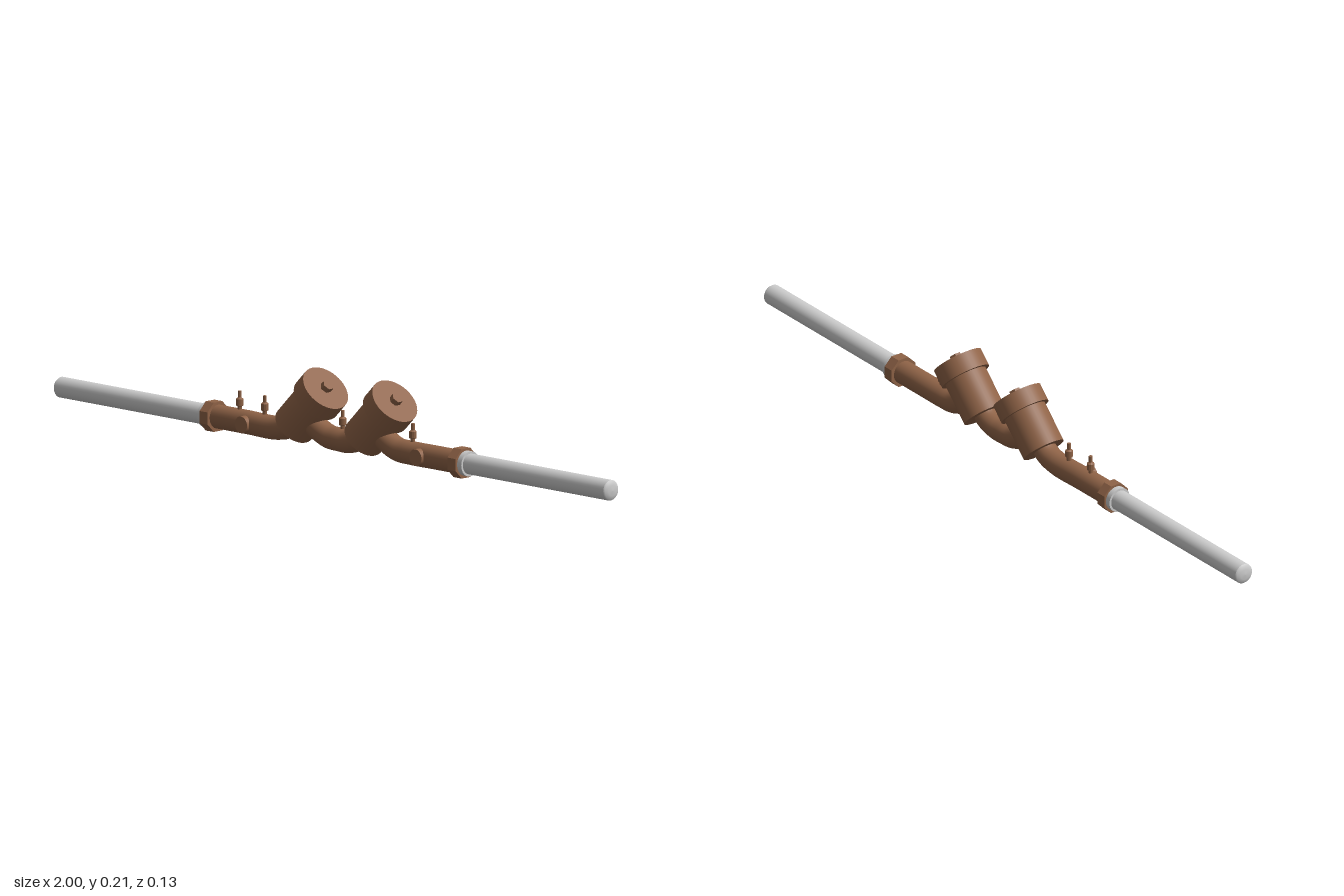
import * as THREE from 'three';

const AXIS_Y = 0.04;

export function createModel() {
  const model = new THREE.Group();
  model.name = 'doubleValveAssembly';
  const bronze = new THREE.MeshStandardMaterial({ color: 0x8f6347 });
  bronze.name = 'bronze';
  const steel = new THREE.MeshStandardMaterial({ color: 0xcccccc });
  steel.name = 'pale pipe';
  const faceted = (g) => { const n = g.toNonIndexed(); n.computeVertexNormals(); return n; };

  function add(parent, name, geometry, material, x = 0, y = 0, z = 0) {
    const mesh = new THREE.Mesh(geometry, material);
    mesh.name = name;
    mesh.position.set(x, y, z);
    parent.add(mesh);
    return mesh;
  }
  // cylinder lying along x between two stations
  function along(name, x0, x1, r, material, sides = 32) {
    const g = new THREE.CylinderGeometry(r, r, x1 - x0, sides);
    if (sides === 8) g.rotateY(Math.PI / 8);
    g.rotateZ(-Math.PI / 2);
    return add(model, name, sides === 8 ? faceted(g) : g, material, (x0 + x1) / 2, AXIS_Y);
  }
  function bentPipe(name, points) {
    const path = new THREE.CatmullRomCurve3(points.map(([x, y]) => new THREE.Vector3(x, y, 0)), false, 'centripetal');
    add(model, name, new THREE.TubeGeometry(path, 48, 0.031, 28), bronze);
  }

  // Long pale pipes with shallow domed ends, plus collars and union nuts
  for (const s of [-1, 1]) {
    const profile = [[0, 0.45], [0.027, 0.45], [0.027, 0.45], [0.027, 0.992], [0.027, 0.992], [0.024, 0.996], [0.014, 0.999], [0, 1]];
    const g = new THREE.LatheGeometry(profile.map(([r, y]) => new THREE.Vector2(r, y)), 32);
    g.rotateZ(-s * Math.PI / 2);
    add(model, s > 0 ? 'leftPipe' : 'rightPipe', g, steel, 0, AXIS_Y);
  }
  along('rightCollar', -0.47, -0.45, 0.033, steel);
  along('leftCollar', 0.465, 0.485, 0.033, steel);
  along('rightUnionNut', -0.455, -0.426, 0.0415, bronze, 8);
  along('leftUnionNut', 0.44, 0.47, 0.0415, bronze, 8);

  // Bronze body runs that bend into and out of the valves
  bentPipe('inletRun', [[-0.45, AXIS_Y], [-0.32, AXIS_Y], [-0.21, AXIS_Y], [-0.165, 0.052], [-0.13, 0.082]]);
  bentPipe('middleRun', [[-0.11, 0.1], [-0.07, 0.063], [-0.025, 0.043], [0.01, AXIS_Y], [0.045, AXIS_Y], [0.085, 0.052], [0.12, 0.082]]);
  bentPipe('outletRun', [[0.14, 0.1], [0.18, 0.063], [0.225, 0.043], [0.27, AXIS_Y], [0.36, AXIS_Y], [0.465, AXIS_Y]]);

  // Two check valves leaning 45 degrees
  for (const [name, x] of [['firstValve', -0.15], ['secondValve', 0.1]]) {
    const valve = new THREE.Group();
    valve.name = name;
    valve.position.set(x, 0.055, 0);
    valve.rotation.z = -Math.PI / 4;
    add(valve, 'valveBody', new THREE.CylinderGeometry(0.057, 0.057, 0.12, 40), bronze, 0, 0.06);
    add(valve, 'valveCap', new THREE.CylinderGeometry(0.067, 0.067, 0.048, 40), bronze, 0, 0.135);
    add(valve, 'capBolt', faceted(new THREE.CylinderGeometry(0.016, 0.016, 0.016, 6)), bronze, 0, 0.166);
    model.add(valve);
  }

  // Upright test cocks
  const cock = [[0, 0.055], [0.006, 0.055], [0.006, 0.078], [0.01, 0.08], [0.01, 0.097], [0.005, 0.101], [0.005, 0.118], [0, 0.118]];
  for (const x of [-0.348, -0.257, 0.024, 0.278]) {
    const g = new THREE.LatheGeometry(cock.map(([r, y]) => new THREE.Vector2(r, y)), 12);
    add(model, 'testCock', faceted(g), bronze, x, 0, 0);
  }

  // Round plugs on the front of the body
  for (const x of [-0.305, 0.325]) {
    const g = new THREE.CylinderGeometry(0.022, 0.022, 0.035, 24);
    g.rotateX(Math.PI / 2);
    add(model, 'frontPlug', g, bronze, x, AXIS_Y, 0.0215);
  }
  return model;
}
